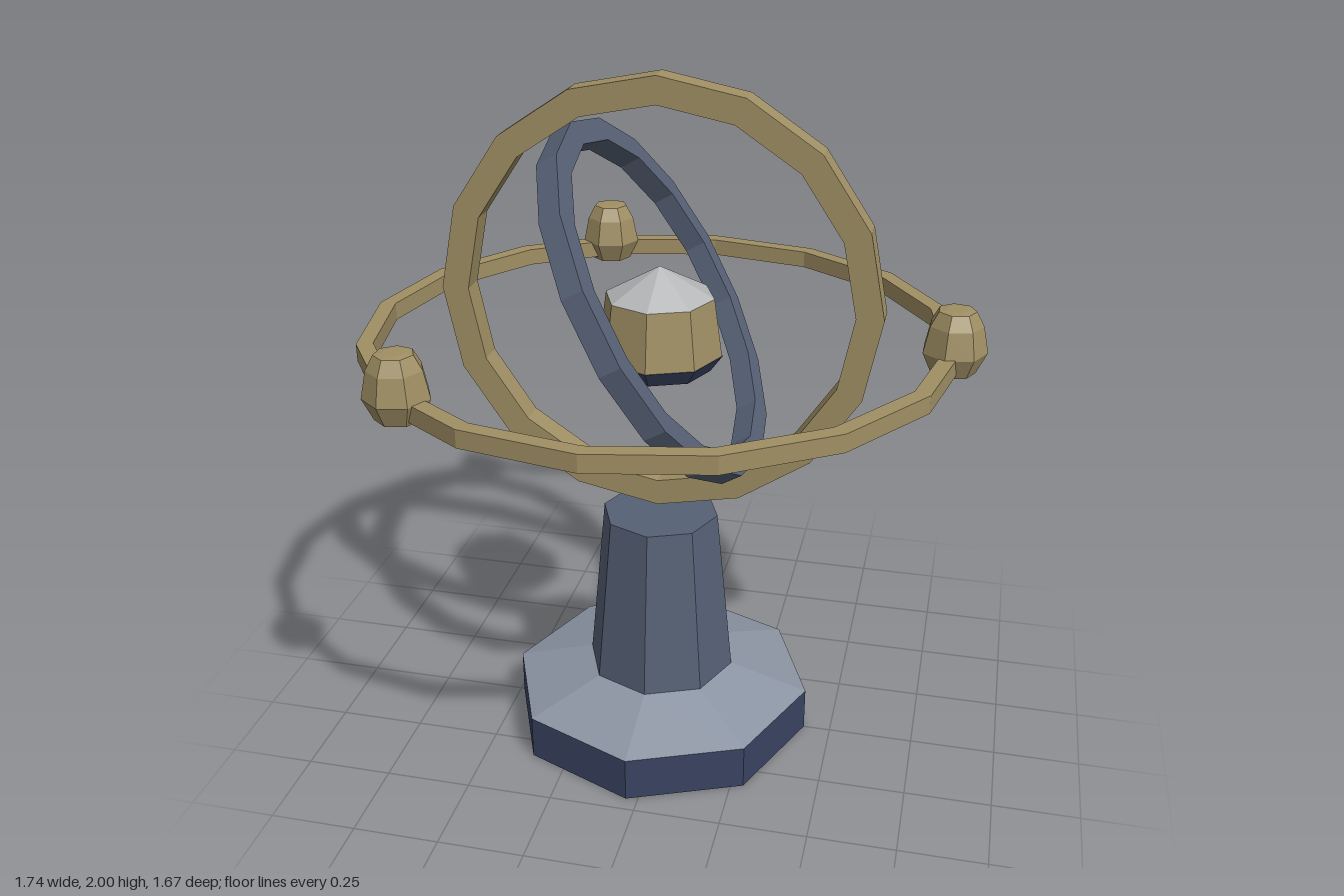
import * as THREE from 'three';

const mat = (color) => new THREE.MeshStandardMaterial({ color, flatShading: true });
const navy = mat(0x3a4462);
const slate = mat(0x566175);
const stone = mat(0x8b94a3);
const brass = mat(0xa08f64);
const silver = mat(0xb4b6b8);

// Faceted solid of revolution from [radius, y] pairs, listed bottom to top
function turned(name, profile, sides, material, phi = 0) {
  const points = profile.map(([r, y]) => new THREE.Vector2(r, y));
  const mesh = new THREE.Mesh(new THREE.LatheGeometry(points, sides, phi), material);
  mesh.name = name;
  return mesh;
}

// Ring of rectangular section lying flat around its own centre
function ring(name, inner, outer, height, material) {
  const h = height / 2;
  return turned(name, [[inner, -h], [outer, -h], [outer, h], [inner, h], [inner, -h]], 16, material);
}

export function createModel() {
  const model = new THREE.Group();
  model.name = 'armillarySphere';
  const centre = new THREE.Group();
  centre.name = 'assembly';
  centre.position.x = -0.035;
  model.add(centre);

  // Stand
  centre.add(
    turned('basePlinth', [[0, 0], [0.455, 0], [0.455, 0.133]], 8, navy),
    turned('baseSlope', [[0.455, 0.133], [0.22, 0.203]], 8, stone),
    turned('pillar', [[0.222, 0.2], [0.172, 0.712], [0, 0.712]], 8, slate),
  );

  // Central core
  centre.add(
    turned('coreBowl', [[0, 1.172], [0.145, 1.172], [0.18, 1.22], [0, 1.22]], 8, navy),
    turned('coreBody', [[0.178, 1.22], [0.155, 1.387]], 8, brass),
    turned('coreCap', [[0.155, 1.387], [0, 1.472]], 8, silver),
  );

  // Upright outer ring
  const upright = ring('uprightRing', 0.548, 0.625, 0.076, brass);
  upright.position.y = 1.375;
  upright.rotation.x = Math.PI / 2;

  // Tilted inner ring
  const tilted = ring('tiltedRing', 0.472, 0.54, 0.064, slate);
  tilted.position.y = 1.375;
  tilted.rotation.z = -Math.PI / 3;

  // Level orbit ring
  const orbit = ring('orbitRing', 0.79, 0.836, 0.05, brass);
  orbit.position.y = 1.272;
  centre.add(upright, tilted, orbit);

  // Beads riding on the orbit ring
  const beadProfile = [[0, 1.235], [0.062, 1.235], [0.09, 1.295], [0.074, 1.37], [0.052, 1.41], [0.03, 1.413], [0, 1.413]];
  for (const angle of [0, 2, 4]) {
    const bead = turned('orbitBead', beadProfile, 7, brass, Math.PI / 2);
    bead.position.set(0.812 * Math.cos(angle), 0, -0.812 * Math.sin(angle));
    centre.add(bead);
  }
  return model;
}
